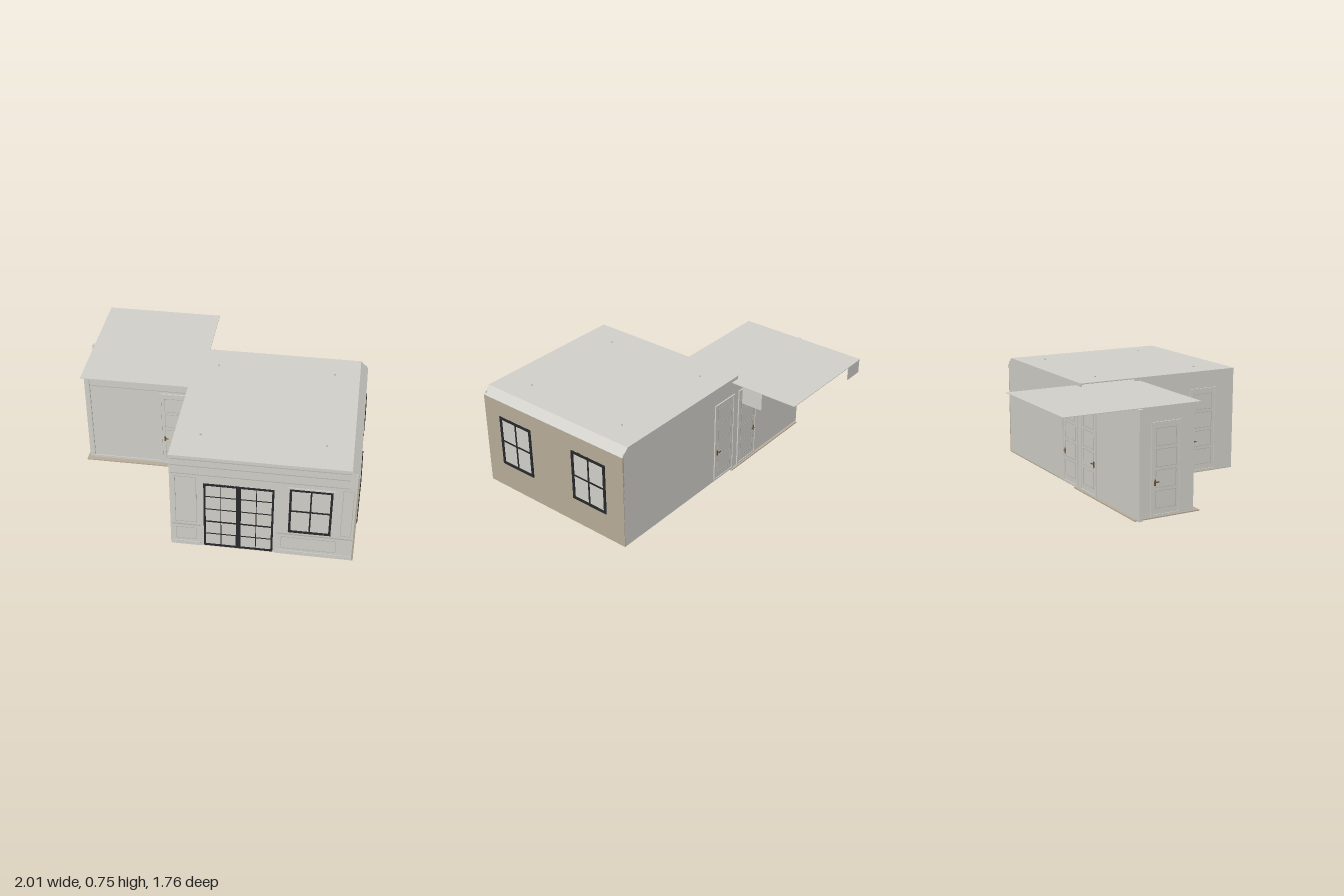
import * as THREE from 'three';

const mat = (name, color) => {
  const m = new THREE.MeshStandardMaterial({ color, side: THREE.DoubleSide });
  m.name = name;
  return m;
};

export function createModel() {
  const plaster = mat('warm grey plaster', 0xd0cfc9);
  const tan = mat('tan', 0xb8ac99);
  const black = mat('black frame', 0x26282a);
  const bronze = mat('bronze', 0x6b5232);
  const shade = mat('grey moulding', 0xb4b3ad);

  const model = new THREE.Group();
  model.name = 'roomShell';

  // Box given by its two opposite corners
  const block = (parent, name, m, x0, x1, y0, y1, z0, z1) => {
    const mesh = new THREE.Mesh(new THREE.BoxGeometry(x1 - x0, y1 - y0, z1 - z0), m);
    mesh.position.set((x0 + x1) / 2, (y0 + y1) / 2, (z0 + z1) / 2);
    mesh.name = name;
    parent.add(mesh);
    return mesh;
  };

  // Group whose local xy plane lies on a wall and whose local +z faces outward
  const onWall = (name, x, y, z, turn = 0) => {
    const g = new THREE.Group();
    g.name = name;
    g.position.set(x, y, z);
    g.rotation.y = turn;
    model.add(g);
    return g;
  };

  // Rectangular border, w by h, standing on local y = 0
  const border = (g, name, m, x, y, w, h, t, d) => {
    block(g, name, m, x - w / 2, x - w / 2 + t, y, y + h, 0, d);
    block(g, name, m, x + w / 2 - t, x + w / 2, y, y + h, 0, d);
    block(g, name, m, x - w / 2 + t, x + w / 2 - t, y, y + t, 0, d);
    block(g, name, m, x - w / 2 + t, x + w / 2 - t, y + h - t, y + h, 0, d);
  };

  // Glazed leaf with a black frame and thin bars
  const glazing = (g, x, w, h, t, cols, rows, bar) => {
    block(g, 'pane', plaster, x - w / 2, x + w / 2, 0, h, 0, 0.002);
    border(g, 'frame', black, x, 0, w, h, t, 0.008);
    for (let i = 1; i < cols; i++) {
      const bx = x - w / 2 + (w * i) / cols;
      block(g, 'upright bar', black, bx - bar / 2, bx + bar / 2, t, h - t, 0, 0.006);
    }
    for (let i = 1; i < rows; i++) {
      const by = (h * i) / rows;
      block(g, 'cross bar', black, x - w / 2 + t, x + w / 2 - t, by - bar / 2, by + bar / 2, 0, 0.006);
    }
  };

  // Panelled door with casing and lever handle; side is the handle side
  const door = (name, x, z, turn, side) => {
    const g = onWall(name, x, 0.01, z, turn);
    block(g, 'leaf', plaster, -0.1, 0.1, 0, 0.6, 0, 0.004);
    border(g, 'casing', plaster, 0, 0, 0.22, 0.61, 0.012, 0.009);
    for (let i = 0; i < 4; i++) {
      const p = new THREE.Group();
      p.position.set(0, 0.05 + i * 0.135, 0.003);
      g.add(p);
      border(p, 'panel moulding', shade, 0, 0, 0.15, 0.115, 0.003, 0.003);
    }
    block(g, 'handle plate', bronze, side * 0.08 - 0.005, side * 0.08 + 0.005, 0.2, 0.24, 0.004, 0.009);
    const lever = [side * 0.08, side * 0.055].sort((a, b) => a - b);
    block(g, 'lever', bronze, lever[0], lever[1], 0.222, 0.229, 0.012, 0.018);
  };

  // Floors and rug
  block(model, 'main floor', tan, -0.21, 0.995, 0, 0.008, -0.37, 0.87);
  block(model, 'hall floor', tan, -0.98, -0.14, 0, 0.008, -0.39, 0.09);
  block(model, 'rug', plaster, 0.27, 0.93, -0.001, 0.011, -0.03, 0.64);

  // Main room end walls, clipped at the sloping cornice
  const profile = new THREE.Shape([
    [-0.21, 0], [0.993, 0], [0.993, 0.69], [0.985, 0.712], [0.965, 0.72], [0.945, 0.742], [-0.21, 0.742],
  ].map(([x, y]) => new THREE.Vector2(x, y)));
  [['front wall', 0.862], ['back wall', -0.37]].forEach(([name, z]) => {
    const wall = new THREE.Mesh(new THREE.ExtrudeGeometry(profile, { depth: 0.01, bevelEnabled: false }), plaster);
    wall.position.z = z;
    wall.name = name;
    model.add(wall);
  });
  block(model, 'right wall', tan, 0.985, 0.997, 0, 0.69, -0.37, 0.875);
  block(model, 'left wall', plaster, -0.21, -0.2, 0, 0.74, 0.05, 0.87);

  // Main ceiling and its sloping cornice along the right side
  block(model, 'main ceiling', plaster, -0.213, 0.945, 0.739, 0.744, -0.37, 0.875);
  const slope = new THREE.Shape([[0.945, 0.744], [0.997, 0.69], [0.99, 0.69], [0.94, 0.739]].map(([x, y]) => new THREE.Vector2(x, y)));
  const cornice = new THREE.Mesh(new THREE.ExtrudeGeometry(slope, { depth: 1.245, bevelEnabled: false }), plaster);
  cornice.position.z = -0.37;
  cornice.name = 'sloping cornice';
  model.add(cornice);

  // Ceiling downlights
  for (const x of [-0.04, 0.77]) for (const z of [-0.17, 0.64]) {
    const lamp = new THREE.Mesh(new THREE.CylinderGeometry(0.007, 0.007, 0.012, 12), shade);
    lamp.position.set(x, 0.742, z);
    lamp.name = 'downlight';
    model.add(lamp);
  }

  // Hall walls, ceiling and hanging panels
  block(model, 'hall back wall', plaster, -0.98, -0.21, 0, 0.715, -0.37, -0.36);
  block(model, 'hall front wall', plaster, -0.96, -0.21, 0, 0.715, 0.04, 0.05);
  block(model, 'hall end wall', plaster, -0.965, -0.955, 0, 0.715, -0.36, 0.05);
  block(model, 'hall corner post', plaster, -1, -0.965, 0, 0.715, -0.37, -0.345);
  block(model, 'hall ceiling', plaster, -0.98, -0.14, 0.717, 0.721, -0.88, 0.09);
  block(model, 'side hanging panel', plaster, -0.172, -0.168, 0.57, 0.715, -0.6, -0.44);
  block(model, 'rear hanging panel', plaster, -0.97, -0.82, 0.62, 0.717, -0.88, -0.876);

  // Mouldings on the hall front
  block(model, 'hall crown', plaster, -0.93, -0.215, 0.69, 0.715, 0.05, 0.065);
  block(model, 'hall picture rail', shade, -0.93, -0.215, 0.638, 0.642, 0.05, 0.054);
  block(model, 'hall corner bead', shade, -0.93, -0.925, 0.01, 0.69, 0.05, 0.054);
  block(model, 'hall skirting', plaster, -0.93, -0.43, 0.008, 0.025, 0.05, 0.056);

  // Mouldings on the main front wall
  const front = onWall('frontMouldings', 0, 0, 0.872);
  for (const y of [0.6, 0.665, 0.715]) block(front, 'crown line', shade, -0.2, 0.94, y, y + 0.005, 0, 0.003);
  for (const [x0, x1] of [[-0.2, -0.01], [0.49, 0.98]]) {
    block(front, 'skirting', plaster, x0, x1, 0, 0.03, 0, 0.004);
    block(front, 'chair rail', shade, x0, x1, 0.172, 0.18, 0, 0.004);
  }
  for (const [x, w, y, h] of [[-0.105, 0.14, 0.05, 0.1], [-0.105, 0.14, 0.2, 0.38], [0.7, 0.36, 0.05, 0.1], [0.935, 0.07, 0.2, 0.38]])
    border(front, 'wall panel', shade, x, y, w, h, 0.003, 0.003);

  // Glazed double doors
  const french = onWall('frenchDoors', 0.24, 0.012, 0.872);
  for (const s of [-1, 1]) glazing(french, s * 0.115, 0.225, 0.525, 0.013, 2, 5, 0.005);
  block(french, 'middle rail', black, -0.22, 0.22, 0.206, 0.214, 0, 0.007);
  block(french, 'centre post', black, -0.01, 0.01, 0, 0.525, 0, 0.009);

  // Windows
  const frontWindow = onWall('frontWindow', 0.702, 0.197, 0.872);
  glazing(frontWindow, 0, 0.275, 0.362, 0.015, 2, 2, 0.01);
  const casing = onWall('frontWindowCasing', 0.702, 0.187, 0.872);
  border(casing, 'casing', plaster, 0, 0, 0.297, 0.382, 0.01, 0.007);
  for (const z of [0.585, -0.075])
    glazing(onWall('sideWindow', 0.997, 0.197, z, Math.PI / 2), 0, 0.292, 0.377, 0.019, 2, 2, 0.011);

  // Doors
  door('hallFrontDoor', -0.32, 0.05, 0, -1);
  door('mainBackDoor', -0.06, -0.37, Math.PI, -1);
  door('hallBackDoor', -0.33, -0.37, Math.PI, 1);
  door('hallEndDoor', -0.965, -0.16, -Math.PI / 2, -1);
  door('mainSideDoor', -0.21, 0.61, -Math.PI / 2, -1);

  return model;
}
